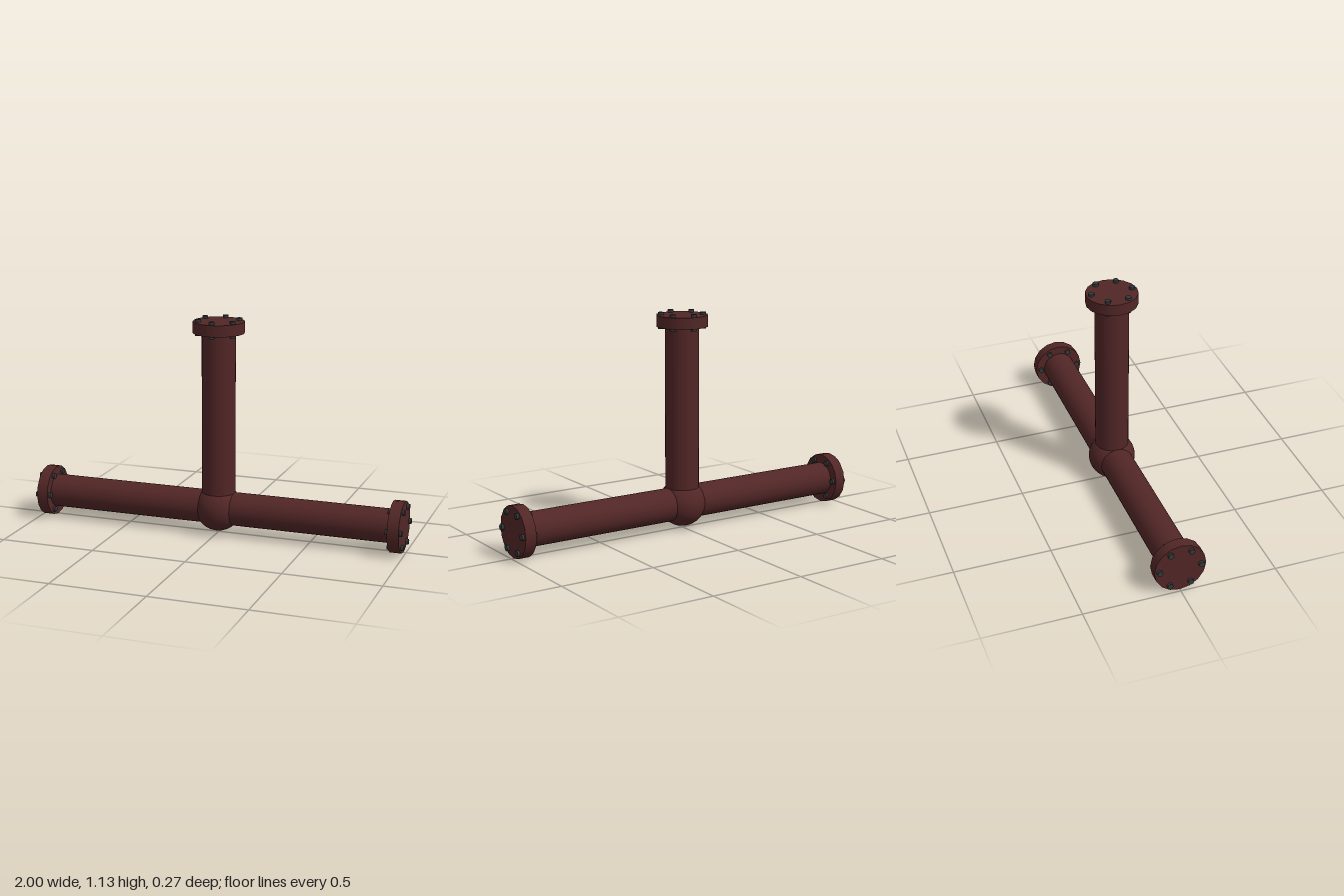
import * as THREE from 'three';

const AXIS_Y = 0.134;

export function createModel() {
  const model = new THREE.Group();
  model.name = 'teePipe';

  const iron = new THREE.MeshStandardMaterial({ color: 0x522626 });
  iron.name = 'oxide red iron';
  const steel = new THREE.MeshStandardMaterial({ color: 0x323838 });
  steel.name = 'dark steel';

  const pipeGeo = new THREE.CylinderGeometry(0.087, 0.087, 0.94, 32, 1, true);
  const flangeGeo = new THREE.CylinderGeometry(0.133, 0.133, 0.059, 16);
  const boltGeo = new THREE.CylinderGeometry(0.0155, 0.0155, 0.085, 8);

  const add = (parent, name, geo, mat, x, y, z) => {
    const mesh = new THREE.Mesh(geo, mat);
    mesh.name = name;
    mesh.position.set(x, y, z);
    parent.add(mesh);
  };

  // One arm along local +y: pipe, flange and a ring of six through bolts
  const addArm = (name, angle) => {
    const arm = new THREE.Group();
    arm.name = name;
    add(arm, 'pipe', pipeGeo, iron, 0, 0.47, 0);
    add(arm, 'flange', flangeGeo, iron, 0, 0.957, 0);
    for (let i = 0; i < 6; i++) {
      const a = (i / 6) * Math.PI * 2;
      add(arm, 'bolt', boltGeo, steel, 0.107 * Math.sin(a), 0.9575, 0.107 * Math.cos(a));
    }
    arm.position.y = AXIS_Y;
    arm.rotation.z = angle;
    model.add(arm);
  };

  addArm('topArm', 0);
  addArm('leftArm', -Math.PI / 2);
  addArm('rightArm', Math.PI / 2);

  // Rounded joint where the arms meet
  add(model, 'joint', new THREE.SphereGeometry(0.122, 32, 20), iron, 0, AXIS_Y, 0);

  return model;
}
